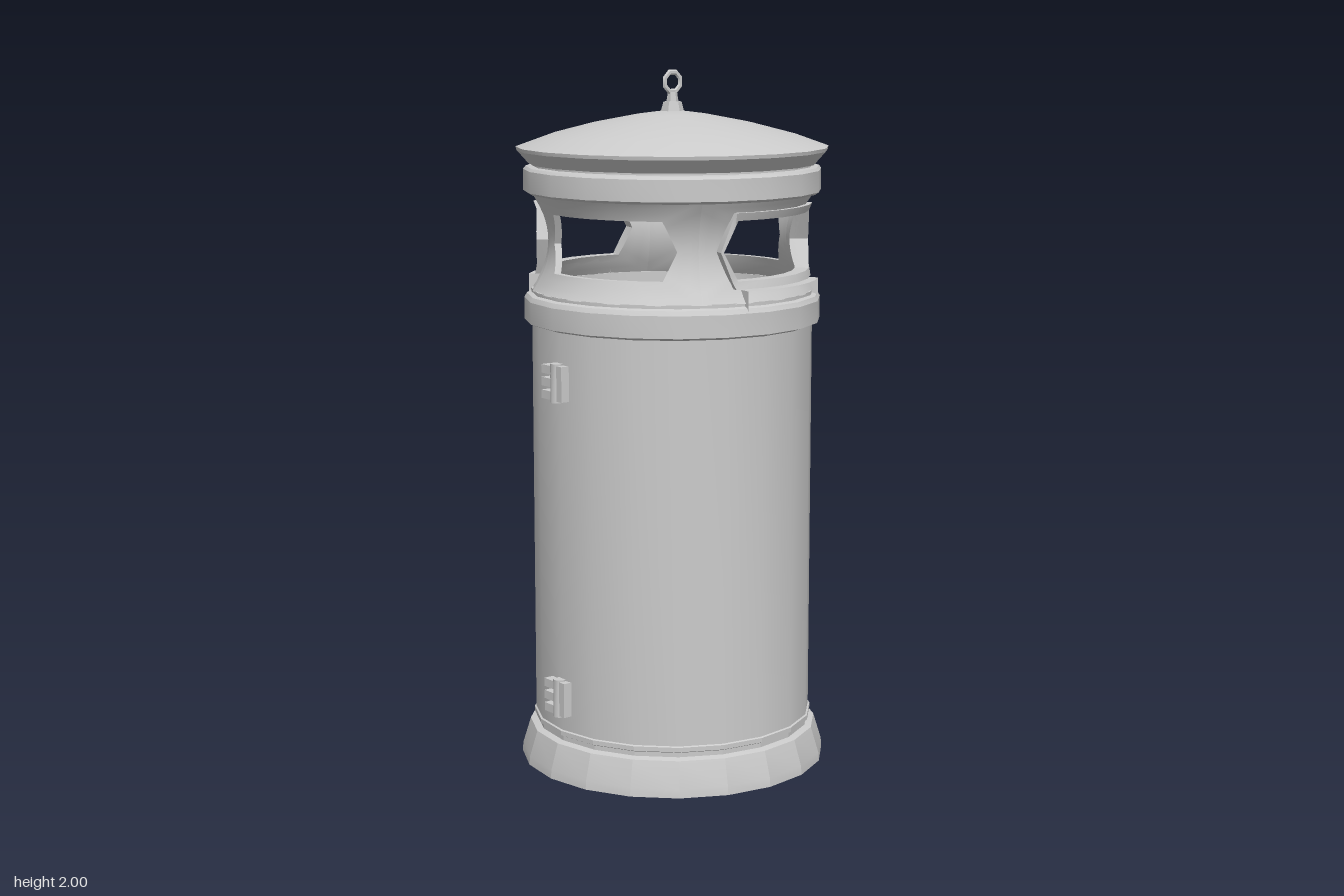
import * as THREE from 'three';
import { toCreasedNormals } from 'three/addons/utils/BufferGeometryUtils.js';

const SIDES = 20;
const WINDOW_ANGLE = Math.PI / 10; // centre of the first window, turned from +z towards +x
const material = new THREE.MeshStandardMaterial({ color: 0xcccccc, side: THREE.DoubleSide });

function addMesh(parent, name, geometry, crease = 0.5) {
  const mesh = new THREE.Mesh(toCreasedNormals(geometry, crease), material);
  mesh.name = name;
  parent.add(mesh);
  return mesh;
}

function lathe(profile) {
  return new THREE.LatheGeometry(profile.map(([r, y]) => new THREE.Vector2(r, y)), SIDES);
}

// Points along a closed polygon, with the same number of steps on every edge
function subdivide(corners, steps) {
  const out = [];
  corners.forEach(([a, y], i) => {
    const [b, z] = corners[(i + 1) % corners.length];
    for (let s = 0; s < steps; s++) out.push([a + (b - a) * s / steps, y + (z - y) * s / steps]);
  });
  return out;
}

// Skin consecutive closed loops of [angle, y, radius] wrapped around the axis
function skinLoops(loops, closed) {
  const n = loops[0].length, pos = [], index = [];
  for (const loop of loops) {
    for (const [a, y, r] of loop) pos.push(r * Math.sin(a), y, r * Math.cos(a));
  }
  const rows = closed ? loops.length : loops.length - 1;
  for (let k = 0; k < rows; k++) {
    for (let i = 0; i < n; i++) {
      const j = (i + 1) % n, m = (k + 1) % loops.length;
      const a = k * n + i, b = k * n + j, c = m * n + j, d = m * n + i;
      index.push(a, b, c, a, c, d);
    }
  }
  const geometry = new THREE.BufferGeometry();
  geometry.setAttribute('position', new THREE.Float32BufferAttribute(pos, 3));
  geometry.setIndex(index);
  geometry.computeVertexNormals();
  return geometry;
}

const MID = 1.52, HALF = 0.14;
const waistRadius = y => 0.355 + 0.05 * Math.pow((y - MID) / HALF, 2);

// Six-cornered window outline; grow widens it
const hexagon = grow => {
  const top = 1.605 + grow, low = 1.44 - grow, wide = 0.62 + grow, narrow = 0.51 + grow;
  return [[-wide, MID], [-narrow, low], [narrow, low], [wide, MID], [narrow, top], [-narrow, top]];
};

// One quarter of the pinched wall with its window
function ventQuarter() {
  const q = Math.PI / 4, lo = MID - HALF, hi = MID + HALF;
  const outer = subdivide([[-q, MID], [-q, lo], [q, lo], [q, MID], [q, hi], [-q, hi]], 5);
  const hole = subdivide(hexagon(0), 5);
  const blend = (t, inset) => outer.map(([a, y], i) => {
    const angle = a + (hole[i][0] - a) * t, h = y + (hole[i][1] - y) * t;
    return [angle, h, waistRadius(h) - inset];
  });
  const ts = [0, 0.33, 0.67, 1];
  return skinLoops([...ts.map(t => blend(t, 0)), ...ts.slice().reverse().map(t => blend(t, 0.02))]);
}

// Raised rim around a window
function windowFrame() {
  const loop = (grow, rise) => subdivide(hexagon(grow), 5).map(([a, y]) =>
    [a, y, Math.max(waistRadius(y), 0.375) + rise]);
  return skinLoops([loop(0.022, -0.02), loop(0.022, 0.014), loop(0, 0.014), loop(0, -0.025)], true);
}

// Curved plate hanging below a window
function windowLip() {
  const a = 0.47;
  const loop = r => subdivide([[-a, 1.36], [a, 1.36], [a, 1.415], [-a, 1.415]], 6).map(([t, y]) => [t, y, r]);
  return skinLoops([loop(0.375), loop(0.418), loop(0.41), loop(0.375)], false);
}

function addHinge(parent, y) {
  const hinge = new THREE.Group();
  hinge.name = 'hinge';
  hinge.position.set(-0.41, y, 0);
  const leaf = addMesh(hinge, 'hingeLeaf', new THREE.BoxGeometry(0.026, 0.1, 0.05));
  leaf.position.z = 0.012;
  for (const i of [-1, 0, 1]) {
    const tab = addMesh(hinge, 'hingeTab', new THREE.BoxGeometry(0.03, 0.024, 0.05));
    tab.position.set(0, i * 0.036, -0.03);
  }
  const pin = addMesh(hinge, 'hingePin', new THREE.CylinderGeometry(0.018, 0.018, 0.11, 8), 0.9);
  pin.position.x = -0.002;
  parent.add(hinge);
}

export function createModel() {
  const model = new THREE.Group();
  model.name = 'litterBin';

  // Flared foot, open underneath
  addMesh(model, 'base', lathe([[0.445, 0], [0.443, 0.025], [0.42, 0.1], [0.4, 0.105],
    [0.4, 0.118], [0.408, 0.122], [0.408, 0.135], [0.402, 0.138]]), 0.25);

  // Drum and the collar around its mouth
  addMesh(model, 'drum', lathe([[0.403, 0.136], [0.403, 1.29]]));
  addMesh(model, 'lowerCollar', lathe([[0.403, 1.285], [0.425, 1.293], [0.425, 1.355], [0.418, 1.368],
    [0.405, 1.372], [0.405, 1.382], [0.38, 1.382], [0.38, 1.29]]), 0.4);

  // Pinched wall with four windows; two opposite ones are framed
  for (let i = 0; i < 4; i++) {
    const side = new THREE.Group();
    side.name = 'ventSide';
    side.rotation.y = WINDOW_ANGLE + i * Math.PI / 2;
    addMesh(side, 'ventWall', ventQuarter());
    if (i % 2 === 0) {
      addMesh(side, 'windowFrame', windowFrame());
      addMesh(side, 'windowLip', windowLip());
    }
    model.add(side);
  }

  // Upper collar and domed lid
  addMesh(model, 'upperCollar', lathe([[0.38, 1.655], [0.415, 1.655], [0.425, 1.662], [0.425, 1.722],
    [0.418, 1.73], [0.4, 1.732], [0.4, 1.745]]), 0.4);
  addMesh(model, 'lid', lathe([[0.395, 1.738], [0.41, 1.738], [0.443, 1.775], [0.445, 1.785], [0.35, 1.819],
    [0.23, 1.85], [0.1, 1.875], [0, 1.888]]), 0.4);

  // Lifting eye on top of the lid
  const knob = addMesh(model, 'knob', new THREE.CylinderGeometry(0.026, 0.034, 0.03, 6));
  knob.position.y = 1.895;
  const stem = addMesh(model, 'stem', new THREE.CylinderGeometry(0.013, 0.018, 0.03, 6));
  stem.position.y = 1.922;
  const eye = addMesh(model, 'liftingRing', new THREE.TorusGeometry(0.029, 0.008, 6, 8), 0.9);
  eye.rotation.z = Math.PI / 8;
  eye.scale.z = 0.7;
  eye.position.y = 1.965;

  // Door hinges
  for (const y of [0.235, 1.145]) addHinge(model, y);
  return model;
}
